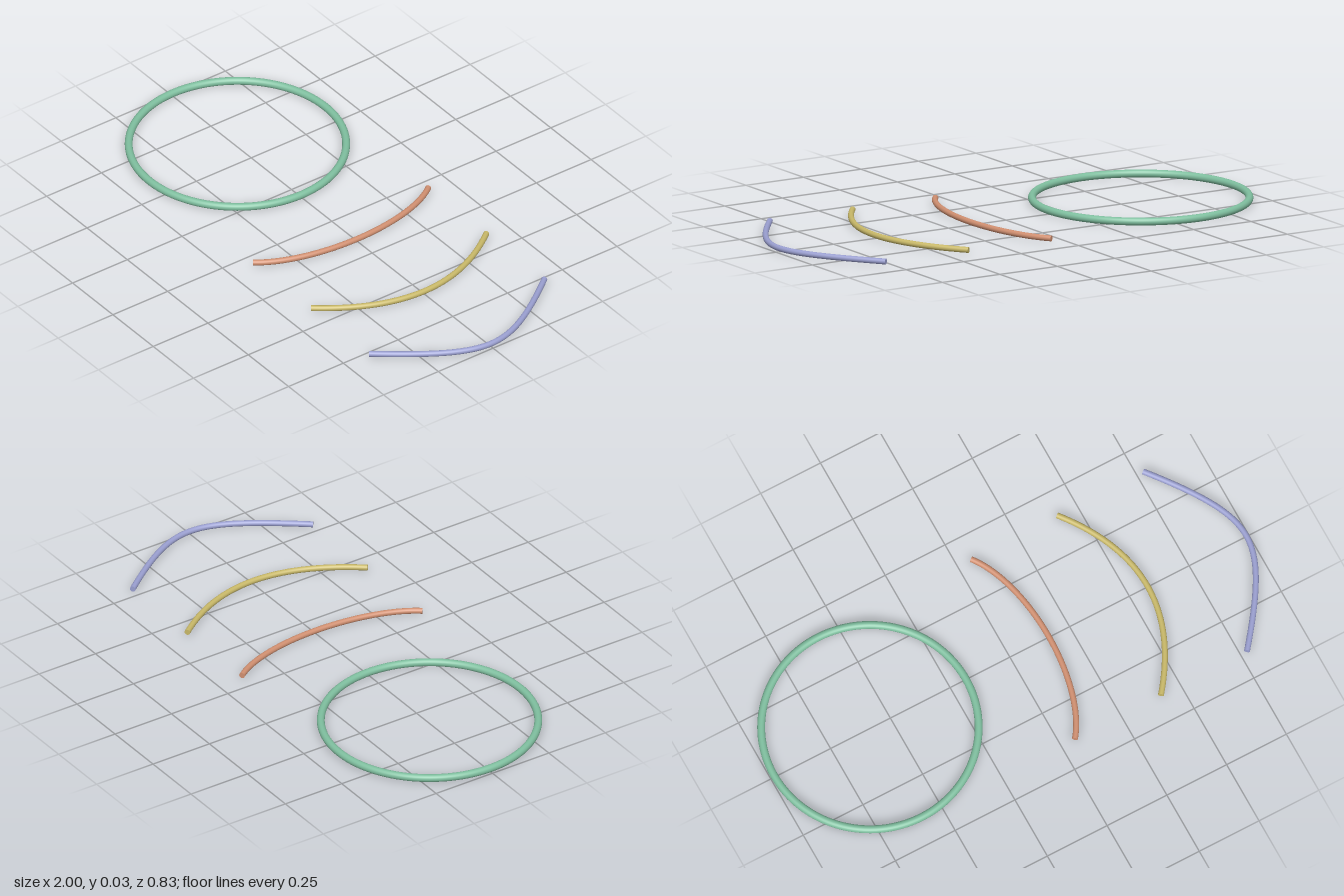
import * as THREE from 'three';

const HALF = 0.4;      // ring radius and half the span of each arc
const RISE = 0.32;     // distance of the middle control point from the chord
const RING_R = 0.0145; // ring tube radius, also the height of all centre lines
const ARC_R = 0.011;   // arc tube radius

// Rational quadratic curve: weight < 1 ellipse, 1 parabola, > 1 hyperbola
class ConicCurve extends THREE.Curve {
  constructor(weight) {
    super();
    this.weight = weight;
  }
  getPoint(t, target = new THREE.Vector3()) {
    const a = (1 - t) ** 2, b = 2 * t * (1 - t) * this.weight, c = t * t;
    const sum = a + b + c;
    return target.set(RISE * b / sum, 0, HALF * (a - c) / sum);
  }
}

function makeMaterial(color) {
  return new THREE.MeshStandardMaterial({ color });
}

// Conic rod with flat end caps
function makeArc(name, weight, x, color) {
  const arc = new THREE.Group();
  arc.name = name;
  arc.position.set(x, RING_R, 0);
  const material = makeMaterial(color);
  const curve = new ConicCurve(weight);

  const rod = new THREE.Mesh(new THREE.TubeGeometry(curve, 96, ARC_R, 20, false), material);
  rod.name = name + 'Rod';
  arc.add(rod);

  for (const t of [0, 1]) {
    const cap = new THREE.Mesh(new THREE.CircleGeometry(ARC_R, 20), material);
    cap.name = name + 'EndCap';
    const outward = curve.getTangent(t).multiplyScalar(t === 0 ? -1 : 1);
    cap.position.copy(curve.getPoint(t));
    cap.quaternion.setFromUnitVectors(new THREE.Vector3(0, 0, 1), outward);
    arc.add(cap);
  }
  return arc;
}

export function createModel() {
  const model = new THREE.Group();
  model.name = 'conicSections';

  // Full circle lying flat
  const ring = new THREE.Mesh(
    new THREE.TorusGeometry(HALF, RING_R, 20, 128).rotateX(Math.PI / 2),
    makeMaterial(0x7fbf9f)
  );
  ring.name = 'circleRing';
  ring.position.set(-0.5855, RING_R, 0);
  model.add(ring);

  // Three open arcs, increasingly pointed
  model.add(makeArc('ellipseArc', 0.5, 0.055, 0xd08f70));
  model.add(makeArc('parabolaArc', 1, 0.415, 0xc8b868));
  model.add(makeArc('hyperbolaArc', 2, 0.775, 0x9a9fd0));
  return model;
}
